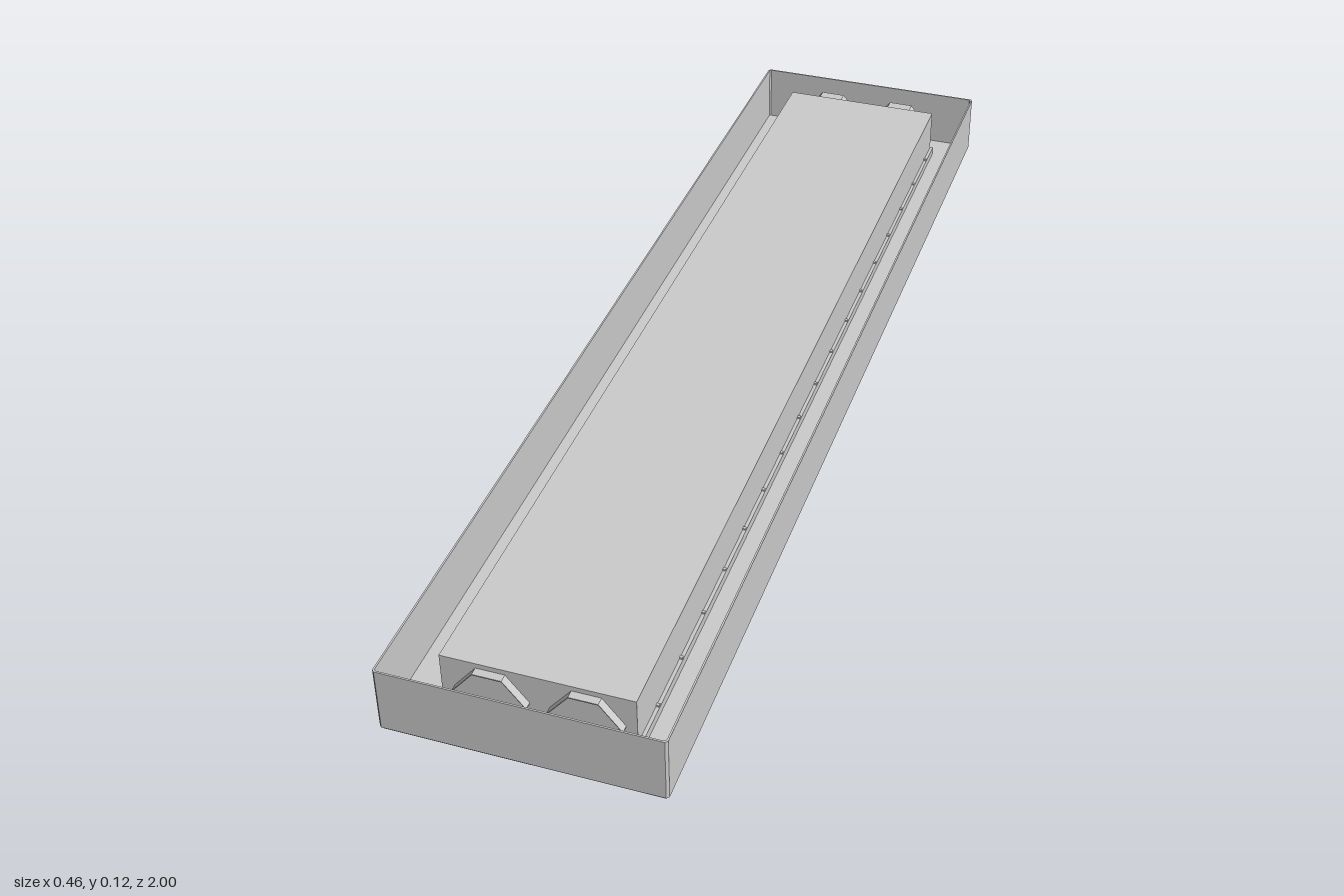
import * as THREE from 'three';

const material = new THREE.MeshStandardMaterial({ color: 0xcccccc, flatShading: true, side: THREE.DoubleSide });

// Rectangle with cut corners, centred on z = zc
function rectPoints(halfX, halfZ, zc = 0, cut = 0) {
  const pts = [];
  for (const [sx, sz] of [[1, -1], [1, 1], [-1, 1], [-1, -1]]) {
    const a = [sx * halfX, sz * (halfZ - cut) - zc];
    const b = [sx * (halfX - cut), sz * halfZ - zc];
    const pair = sx * sz > 0 ? [a, b] : [b, a];
    if (cut === 0) pair.pop();
    pts.push(...pair.map(([x, y]) => new THREE.Vector2(x, y)));
  }
  return pts;
}

// Upright frame: an outline with a hole, raised from y0 to y1
function frame(name, outer, inner, y0, y1) {
  const shape = new THREE.Shape(outer);
  if (inner) shape.holes.push(new THREE.Path(inner));
  const geo = new THREE.ExtrudeGeometry(shape, { depth: y1 - y0, bevelEnabled: false });
  geo.rotateX(-Math.PI / 2).translate(0, y0, 0);
  const mesh = new THREE.Mesh(geo, material);
  mesh.name = name;
  return mesh;
}

// Folded sheet: an open profile in x and y, thickened upward and run from z0 to z1
function sheet(name, profile, z0, z1, thick = 0.002) {
  const top = profile.map(([x, y]) => [x, y + thick]).reverse();
  const shape = new THREE.Shape([...profile, ...top].map(([x, y]) => new THREE.Vector2(x, y)));
  const geo = new THREE.ExtrudeGeometry(shape, { depth: z1 - z0, bevelEnabled: false });
  geo.translate(0, 0, z0);
  const mesh = new THREE.Mesh(geo, material);
  mesh.name = name;
  return mesh;
}

export function createModel() {
  const group = new THREE.Group();
  group.name = 'recessedLightFixture';

  // Open tray: floor with a long opening, and thin outer walls
  group.add(frame('trayFloor', rectPoints(0.229, 0.997, 0, 0.003), rectPoints(0.157, 0.928, -0.004), 0, 0.006));
  group.add(frame('trayWalls', rectPoints(0.232, 1, 0, 0.004), rectPoints(0.229, 0.997, 0, 0.003), 0.004, 0.12));

  // Rim round the opening, with the lamp housing rising from it
  const zc = -0.005, zBack = -0.936, zFront = 0.926;
  group.add(frame('openingRim', rectPoints(0.164, 0.934, zc), rectPoints(0.157, 0.928, zc), 0.006, 0.022));
  group.add(frame('housingWalls', rectPoints(0.158, 0.931, zc), rectPoints(0.155, 0.928, zc), 0.006, 0.105));
  group.add(frame('housingTop', rectPoints(0.158, 0.931, zc), null, 0.104, 0.107));

  // Reflector with two trapezoid troughs
  const low = 0.05, high = 0.096;
  const trough = (cx) => [[cx - 0.061, low], [cx - 0.024, high], [cx + 0.024, high], [cx + 0.061, low]];
  const troughs = [-0.075, 0.079].map(trough);
  group.add(sheet('reflector', [[-0.155, low], ...troughs[0], ...troughs[1], [0.155, low]], zBack, zFront));

  // Trough ends that stick out through the housing ends
  for (const profile of troughs) {
    group.add(sheet('troughEndBack', profile, -0.973, zBack));
    group.add(sheet('troughEndFront', profile, zFront, 0.94));
  }

  // Row of cross louvres
  const louvreGeo = new THREE.BoxGeometry(0.328, 0.018, 0.006);
  for (let i = 0; i < 17; i++) {
    const louvre = new THREE.Mesh(louvreGeo, material);
    louvre.name = 'louvre';
    louvre.position.set(-0.001, 0.016, -0.88 + i * 0.1078);
    group.add(louvre);
  }
  return group;
}
